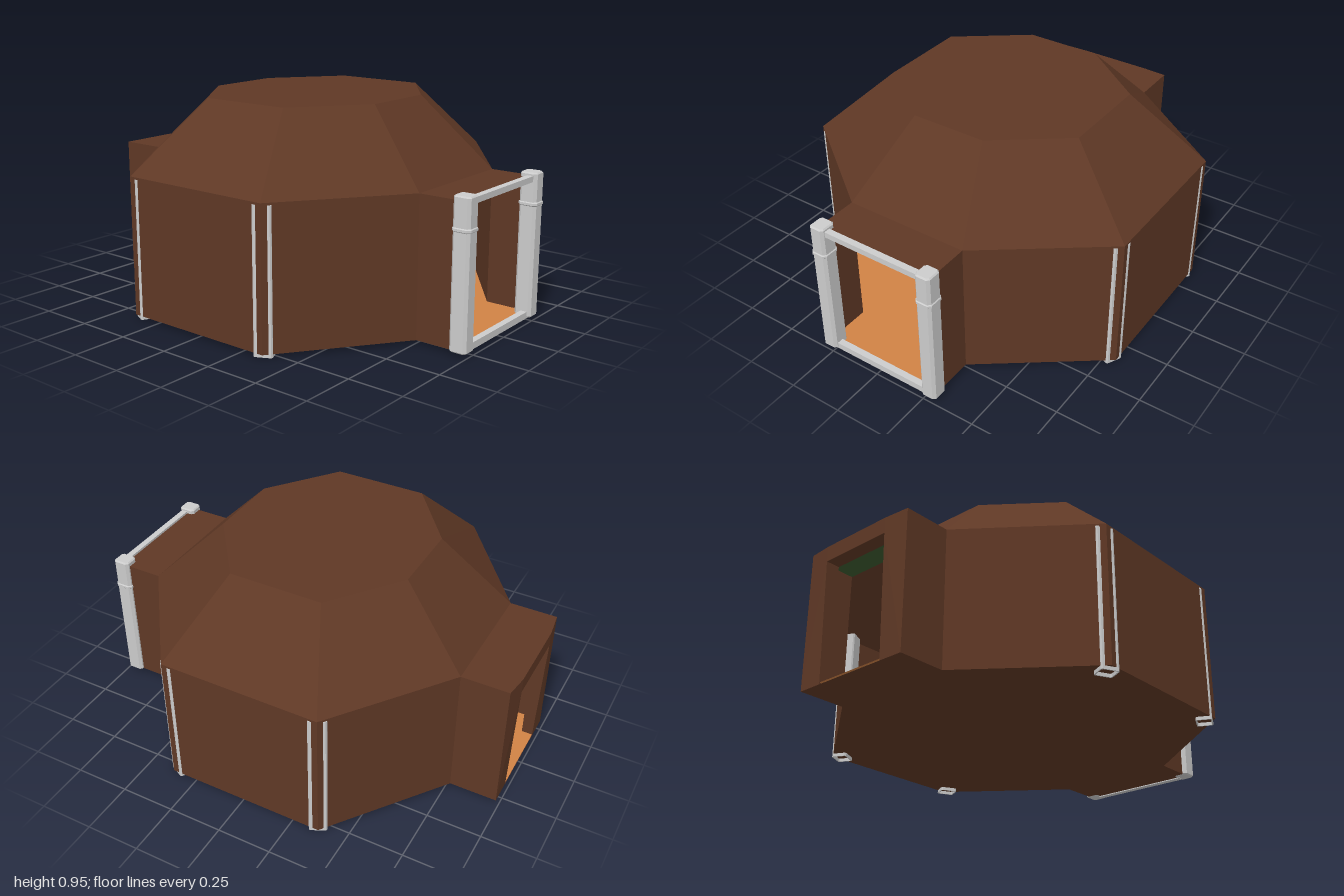
import * as THREE from 'three';

const paint = (color, side = THREE.DoubleSide) =>
  new THREE.MeshStandardMaterial({ color, side, flatShading: true });
const brown = paint(0x5f3825), orange = paint(0xd08245), green = paint(0x3c5a30);
const grey = paint(0xcccccc);

const FLOOR = 0.015, EAVE = 0.64, TOP = 0.955, MID = -0.008;
const DOOR = 0.29, FRONT = 0.95, BACK = -0.985;

// Octagon corners, anticlockwise from the front right edge of the +x wall
function octagon(ax, az, bx, bz) {
  const half = [[ax, az], [bx, bz], [-bx, bz], [-ax, az]];
  return [...half, ...half.map(([x, z]) => [-x, -z])].map(([x, z]) => [x, z + MID]);
}
const base = octagon(0.81, 0.372, DOOR, 0.76);
const crown = octagon(0.487, 0.215, 0.175, 0.452);

// Panels between two rings of corners, leaving out some sides
function panels(low, y0, high, y1, skip = []) {
  const pos = [];
  low.forEach((a, i) => {
    if (skip.includes(i)) return;
    const j = (i + 1) % low.length, b = low[j], c = high[j], d = high[i];
    const [A, B, C, D] = [[a[0], y0, a[1]], [b[0], y0, b[1]], [c[0], y1, c[1]], [d[0], y1, d[1]]];
    pos.push(...A, ...C, ...B, ...A, ...D, ...C);
  });
  const g = new THREE.BufferGeometry();
  g.setAttribute('position', new THREE.Float32BufferAttribute(pos, 3));
  g.computeVertexNormals();
  return g;
}

// Flat polygon lying at height y, facing up
function flat(points, y) {
  const shape = new THREE.Shape(points.map(([x, z]) => new THREE.Vector2(x, -z)));
  return new THREE.ShapeGeometry(shape).rotateX(-Math.PI / 2).translate(0, y, 0);
}

// Rectangle with cut corners
function cutRect(w, d, c, Type = THREE.Shape) {
  const x = w / 2, z = d / 2;
  return new Type([[x - c, -z], [x, c - z], [x, z - c], [x - c, z], [c - x, z], [-x, z - c], [-x, c - z], [c - x, -z]]
    .map(([a, b]) => new THREE.Vector2(a, b)));
}

// Upright extrusion starting at y = 0
const upright = (shape, h, bevel = 0) => new THREE.ExtrudeGeometry(shape, {
  depth: h - 2 * bevel, bevelEnabled: bevel > 0, bevelThickness: bevel, bevelSize: bevel,
  bevelOffset: -bevel, bevelSegments: 1,
}).translate(0, 0, bevel).rotateX(-Math.PI / 2);

export function createModel() {
  const model = new THREE.Group();
  const add = (name, geometry, material, x = 0, y = 0, z = 0) => {
    const mesh = new THREE.Mesh(geometry, material);
    mesh.name = name;
    mesh.position.set(x, y, z);
    model.add(mesh);
    return mesh;
  };

  // Octagonal hall, open towards both porches
  add('hallWalls', panels(base, FLOOR, base, EAVE, [1, 5]), brown);
  add('slopingRoof', panels(base, EAVE, crown, TOP), brown);
  add('roofTop', flat(crown, TOP), brown);

  // Floor over hall and porches, with a dark underside
  const plan = [
    base[0], base[1], [DOOR, FRONT], [-DOOR, FRONT], base[2], base[3],
    base[4], base[5], [-DOOR, BACK], [DOOR, BACK], base[6], base[7],
  ];
  add('floor', flat(plan, FLOOR + 0.008), orange);
  add('underside', flat(plan, FLOOR), brown);

  // Porches: side walls, flat roof and green ceiling
  for (const [name, inner, outer] of [['front', base[1][1], FRONT], ['back', base[5][1], BACK]]) {
    const length = Math.abs(outer - inner), mid = (outer + inner) / 2;
    for (const s of [-1, 1]) {
      add(name + 'PorchWall', new THREE.PlaneGeometry(length, EAVE - FLOOR).rotateY(s * Math.PI / 2),
        brown, s * DOOR, (EAVE + FLOOR) / 2, mid);
    }
    const lid = new THREE.PlaneGeometry(2 * DOOR, length).rotateX(-Math.PI / 2);
    add(name + 'PorchRoof', lid, brown, 0, EAVE, mid);
    add(name + 'PorchCeiling', lid, green, 0, EAVE - 0.012, mid);
  }

  // Back doorway wall, its lintel leaning slightly outwards
  const wall = new THREE.Shape([
    [-DOOR, FLOOR], [-0.175, FLOOR], [-0.175, 0.565], [0.175, 0.565],
    [0.175, FLOOR], [DOOR, FLOOR], [DOOR, EAVE], [0.175, EAVE - 0.005], [-0.175, EAVE - 0.005], [-DOOR, EAVE],
  ].map(([x, y]) => new THREE.Vector2(x, y)));
  const doorway = new THREE.ExtrudeGeometry(wall, { depth: 0.05, bevelEnabled: false });
  const p = doorway.attributes.position;
  for (let i = 0; i < p.count; i++) {
    if (p.getZ(i) < 0.01 && Math.abs(p.getX(i)) < 0.2 && p.getY(i) > 0.5) p.setZ(i, -0.014);
  }
  doorway.computeVertexNormals();
  add('backDoorway', doorway, brown, 0, 0, BACK);

  // Front gate: two banded posts joined by a top beam and a sill
  for (const s of [-1, 1]) {
    add('gatePost', upright(cutRect(0.074, 0.08, 0.012), 0.65, 0.006), grey, s * 0.272, 0.013, 0.956);
    add('postBand', upright(cutRect(0.082, 0.088, 0.014), 0.018, 0.004), grey, s * 0.272, 0.516, 0.956);
  }
  add('topBeam', new THREE.BoxGeometry(0.5, 0.026, 0.03), grey, 0, 0.637, 0.966);
  add('sill', new THREE.BoxGeometry(0.5, 0.03, 0.03), grey, 0, 0.026, 0.966);

  // Hollow posts set into the four side corners
  const tube = cutRect(0.08, 0.07, 0.006);
  tube.holes.push(cutRect(0.07, 0.06, 0.005, THREE.Path));
  const tubeGeometry = upright(tube, 0.63);
  for (const sx of [-1, 1]) for (const sz of [-1, 1]) {
    const post = add('cornerPost', tubeGeometry, grey,
      sx * (0.81 - 0.047 * 0.894), 0, MID + sz * (0.372 - 0.047 * 0.447));
    post.rotation.y = Math.atan2(sx * 0.894, sz * 0.447);
  }
  return model;
}
